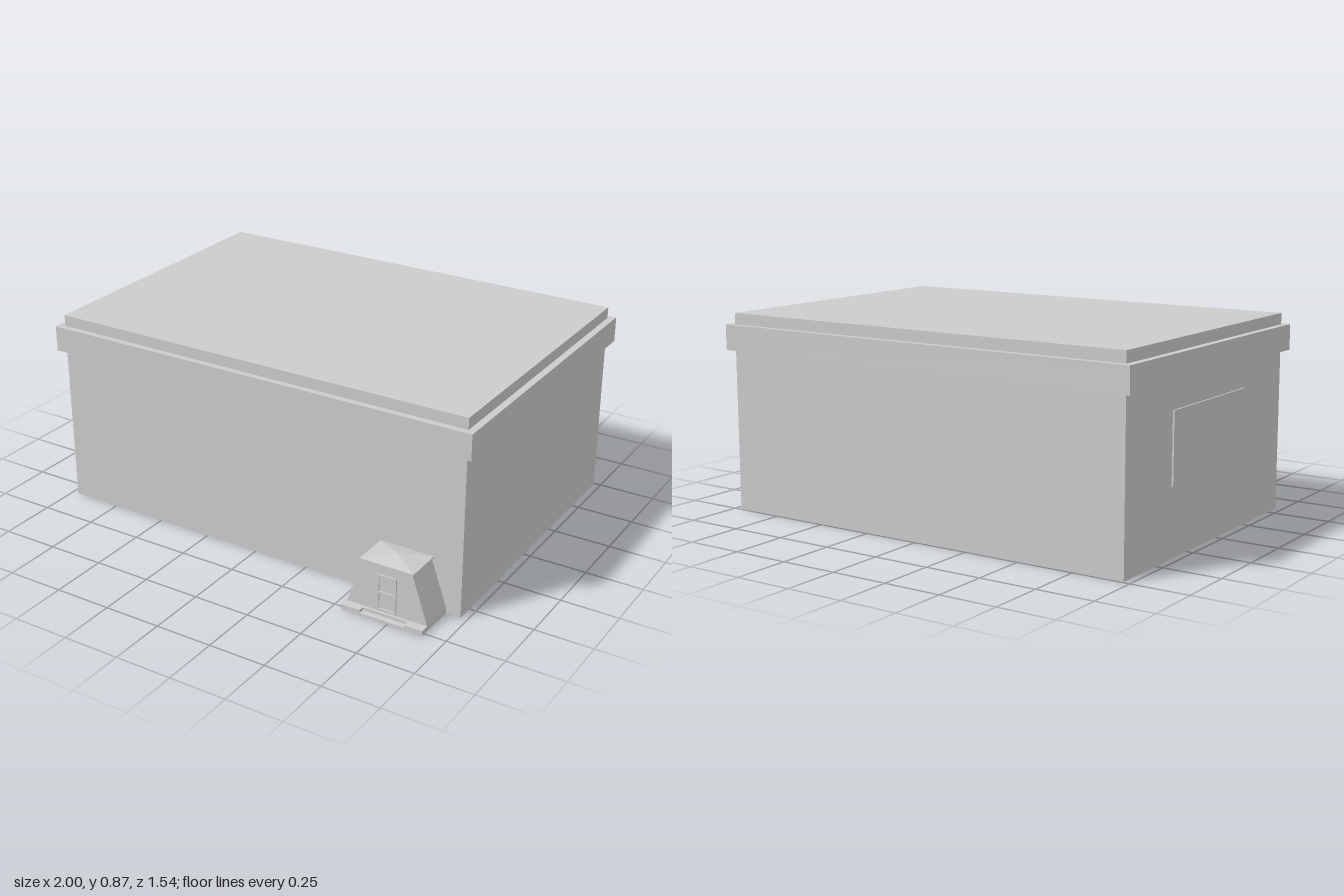
import * as THREE from 'three';

const material = new THREE.MeshStandardMaterial({ color: 0xcccccc, flatShading: true });

function add(parent, name, geometry) {
  const mesh = new THREE.Mesh(geometry, material);
  mesh.name = name;
  parent.add(mesh);
  return mesh;
}

// Box given by its extents on each axis
function block(parent, name, [x0, x1], [y0, y1], [z0, z1]) {
  const geometry = new THREE.BoxGeometry(x1 - x0, y1 - y0, z1 - z0);
  geometry.translate((x0 + x1) / 2, (y0 + y1) / 2, (z0 + z1) / 2);
  return add(parent, name, geometry);
}

// Outline in x and y, extruded along z
function slab(parent, name, shape, z0, z1) {
  const geometry = new THREE.ExtrudeGeometry(shape, { depth: z1 - z0, bevelEnabled: false });
  geometry.translate(0, 0, z0);
  return add(parent, name, geometry);
}

const polygon = (points) => new THREE.Shape(points.map(([x, y]) => new THREE.Vector2(x, y)));
const rectangle = (x0, x1, y0, y1) => polygon([[x0, y0], [x1, y0], [x1, y1], [x0, y1]]);

function createPorch() {
  const porch = new THREE.Group();
  porch.name = 'entrancePorch';
  const wallZ = 0.575;

  // Base plate with a lowered step in its front edge
  block(porch, 'base', [-0.18, 0.18], [0, 0.022], [wallZ, 0.742]);
  slab(porch, 'baseFront', polygon([
    [-0.18, 0], [0.18, 0], [0.18, 0.022], [0.1, 0.022],
    [0.1, 0.01], [-0.1, 0.01], [-0.1, 0.022], [-0.18, 0.022],
  ]), 0.742, 0.768);

  // Tapered body
  slab(porch, 'body', polygon([
    [-0.18, 0.022], [0.18, 0.022], [0.108, 0.236], [-0.108, 0.236],
  ]), wallZ, 0.729);

  // Low pyramid roof
  const roof = new THREE.ConeGeometry(Math.SQRT1_2, 1, 4);
  roof.rotateY(Math.PI / 4);
  roof.scale(0.24, 0.02, 0.163);
  roof.translate(0, 0.248, 0.6565);
  add(porch, 'roof', roof);
  block(porch, 'roofEave', [-0.12, 0.12], [0.233, 0.238], [wallZ, 0.738]);

  // Door frame with two panes
  const frame = rectangle(-0.043, 0.043, 0.028, 0.19);
  for (const [y0, y1] of [[0.037, 0.103], [0.114, 0.181]]) {
    frame.holes.push(rectangle(-0.034, 0.034, y0, y1));
  }
  slab(porch, 'doorFrame', frame, 0.727, 0.735);

  porch.position.x = 0.725;
  return porch;
}

export function createModel() {
  const model = new THREE.Group();
  model.name = 'building';

  // Main hall on a thin floor plate
  block(model, 'floorPlate', [-0.97, 0.97], [0, 0.005], [-0.742, 0.575]);
  block(model, 'hall', [-0.97, 0.97], [0.005, 0.865], [-0.742, 0.575]);

  // Projecting band around the roof edge
  block(model, 'roofBand', [-1, 1], [0.705, 0.816], [-0.768, 0.602]);

  // Thin panel on the side wall
  block(model, 'wallPanel', [-0.977, -0.969], [0.29, 0.59], [-0.385, 0.23]);

  model.add(createPorch());
  return model;
}
